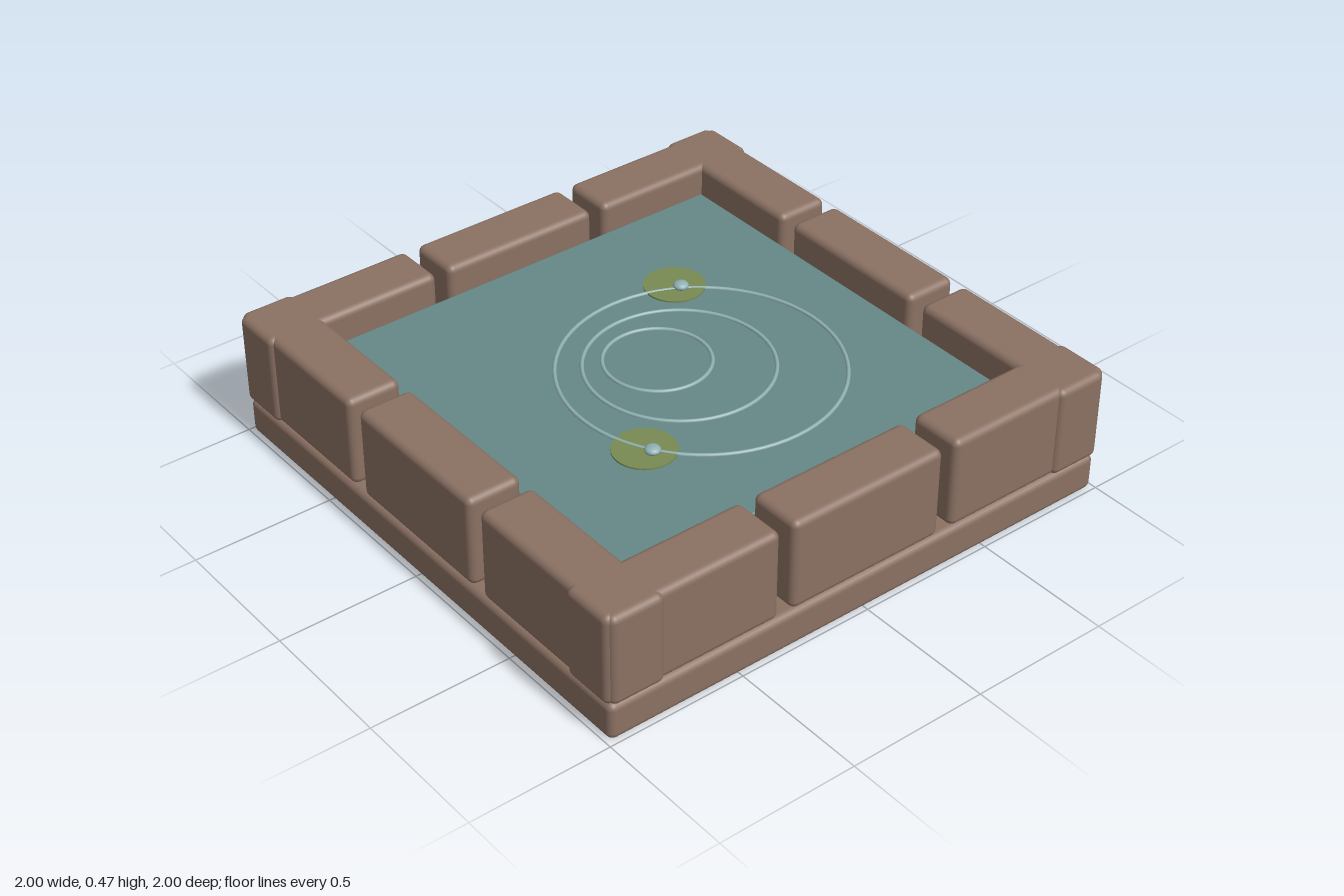
import * as THREE from 'three';
import { RoundedBoxGeometry } from 'three/addons/geometries/RoundedBoxGeometry.js';

const material = (name, color) => {
  const m = new THREE.MeshStandardMaterial({ color });
  m.name = name;
  return m;
};

export function createModel() {
  const stone = material('brown stone', 0x8b7163);
  const water = material('teal water', 0x658887);
  const ripple = material('pale ripple', 0x8fb0b2);
  const leaf = material('olive leaf', 0x788b54);

  const group = new THREE.Group();
  group.name = 'stonePond';

  const add = (name, geometry, mat, x, y, z, parent = group) => {
    const mesh = new THREE.Mesh(geometry, mat);
    mesh.name = name;
    mesh.position.set(x, y, z);
    parent.add(mesh);
    return mesh;
  };

  // Base slab
  add('base', new RoundedBoxGeometry(1.98, 0.135, 1.98, 3, 0.025), stone, 0, 0.0675, 0);

  // Four walls of three blocks, overlapping at the corners
  const endBlock = new RoundedBoxGeometry(0.65, 0.33, 0.197, 3, 0.025);
  const middleBlock = new RoundedBoxGeometry(0.6, 0.33, 0.197, 3, 0.025);
  ['front', 'left', 'back', 'right'].forEach((side, i) => {
    const wall = new THREE.Group();
    wall.name = side + 'Wall';
    wall.rotation.y = i * Math.PI / 2;
    add('wallEndBlock', endBlock, stone, -0.675, 0.302, 0.889, wall);
    add('wallMiddleBlock', middleBlock, stone, 0, 0.302, 0.889, wall);
    add('wallEndBlock', endBlock, stone, 0.675, 0.302, 0.889, wall);
    group.add(wall);
  });

  // Thin sheet of water
  add('water', new RoundedBoxGeometry(1.546, 0.024, 1.546, 2, 0.006), water, 0, 0.358, 0);

  // Off-centre ripples
  for (const [x, z, radius] of [[-0.045, 0, 0.18], [0.02, -0.04, 0.317], [0.08, -0.083, 0.476]]) {
    const ring = add('ripple', new THREE.TorusGeometry(radius, 0.007, 8, 72), ripple, x, 0.372, z);
    ring.rotation.x = Math.PI / 2;
  }

  // Floating leaves, each with a flattened droplet
  for (const [x, z, dz] of [[-0.36, -0.322, 0], [0.315, 0.335, -0.004]]) {
    add('leaf', new THREE.CylinderGeometry(0.107, 0.107, 0.008, 40), leaf, x, 0.372, z);
    const drop = add('droplet', new THREE.SphereGeometry(0.027, 20, 12), ripple, x + 0.035, 0.389, z + dz);
    drop.scale.y = 0.55;
  }

  return group;
}
